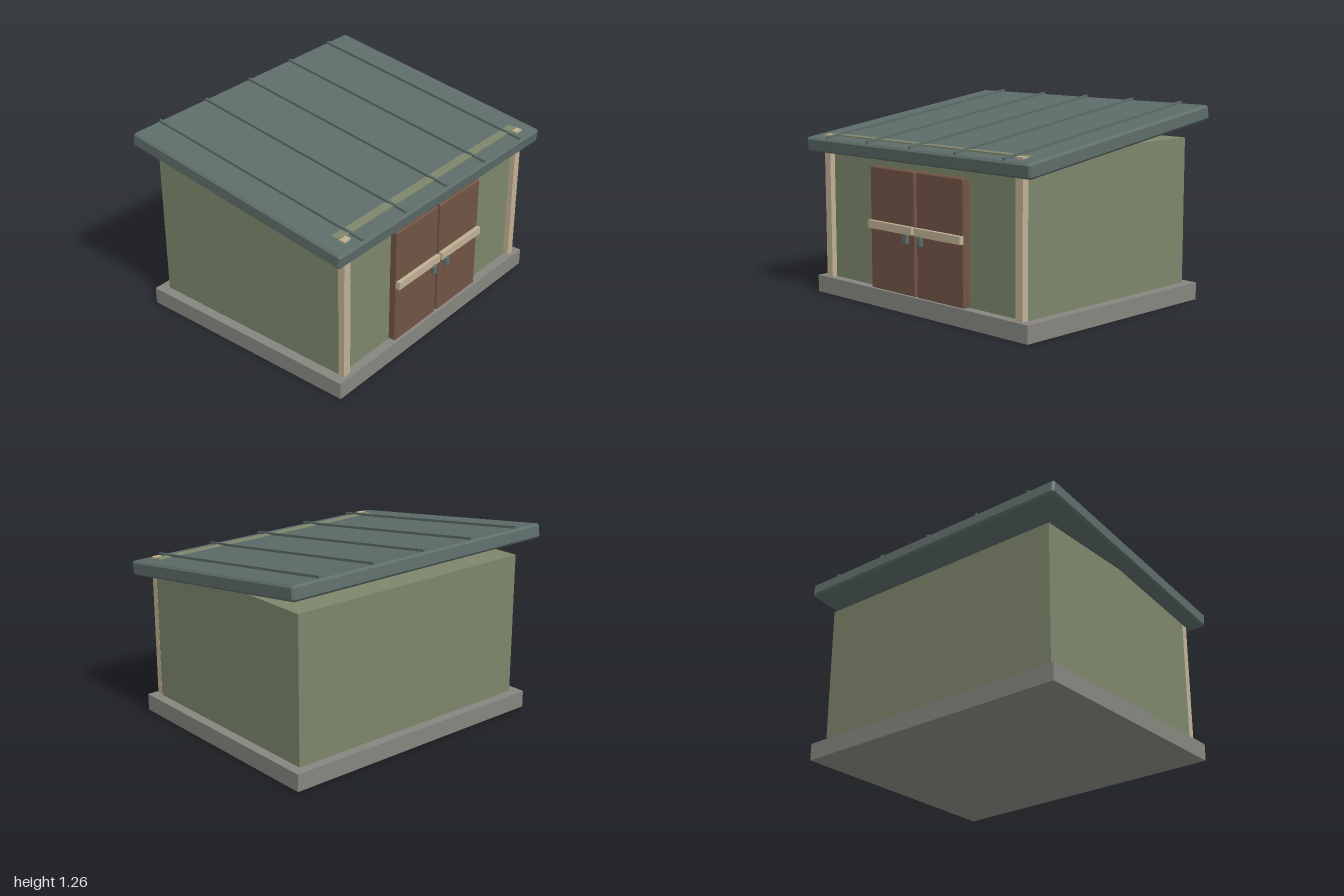
import * as THREE from 'three';
import { ConvexGeometry } from 'three/addons/geometries/ConvexGeometry.js';

const material = (name, color) => {
  const m = new THREE.MeshStandardMaterial({ color });
  m.name = name;
  return m;
};

// Box with every edge cut by a flat chamfer c
function chamferBox(w, h, d, c) {
  const points = [];
  for (const sx of [-1, 1]) for (const sy of [-1, 1]) for (const sz of [-1, 1]) {
    const x = w / 2, y = h / 2, z = d / 2;
    points.push(
      new THREE.Vector3(sx * x, sy * (y - c), sz * (z - c)),
      new THREE.Vector3(sx * (x - c), sy * y, sz * (z - c)),
      new THREE.Vector3(sx * (x - c), sy * (y - c), sz * z));
  }
  return new ConvexGeometry(points);
}

export function createModel() {
  const shed = new THREE.Group();
  shed.name = 'shed';

  const wall = material('sage green', 0x7d866b);
  const slate = material('slate', 0x5d6c69);
  const wood = material('brown wood', 0x705344);
  const trim = material('beige trim', 0xc0b094);
  const concrete = material('concrete', 0x86857f);

  // Block given by its min and max corners, chamfered when c > 0
  function block(name, mat, [x0, y0, z0], [x1, y1, z1], c = 0, parent = shed) {
    const size = [x1 - x0, y1 - y0, z1 - z0];
    const geo = c ? chamferBox(...size, c) : new THREE.BoxGeometry(...size);
    const mesh = new THREE.Mesh(geo, mat);
    mesh.name = name;
    mesh.position.set((x0 + x1) / 2, (y0 + y1) / 2, (z0 + z1) / 2);
    parent.add(mesh);
  }

  // Base and walls
  block('foundation', concrete, [-0.95, 0, -0.778], [0.95, 0.11, 0.778]);
  block('walls', wall, [-0.886, 0.11, -0.714], [0.886, 1.04, 0.716]);

  // Corner posts, doors, door rails and handles, mirrored
  for (const [side, s] of [['left', 1], ['right', -1]]) {
    const mirrored = (name, mat, a, b, z0, z1, y0, y1, c) =>
      block(side + name, mat, [Math.min(s * a, s * b), y0, z0], [Math.max(s * a, s * b), y1, z1], c);
    mirrored('CornerPost', trim, 0.832, 0.887, 0.708, 0.752, 0.11, 1.04, 0);
    mirrored('Door', wood, 0.009, 0.419, 0.705, 0.762, 0.11, 0.876, 0.006);
    mirrored('DoorRail', trim, 0.011, 0.417, 0.755, 0.788, 0.492, 0.541, 0);
    mirrored('Handle', slate, 0.045, 0.083, 0.77, 0.797, 0.432, 0.498, 0.006);
  }

  // Sloping roof with standing seams
  const roof = new THREE.Group();
  roof.name = 'roof';
  roof.position.y = 1.086;
  roof.rotation.x = 0.14;
  block('roofPanel', slate, [-0.998, -0.046, -0.82], [0.998, 0.046, 0.82], 0.013, roof);
  for (let i = -2; i <= 2; i++) {
    const x = i * 0.395;
    block('roofSeam', slate, [x - 0.007, 0.04, -0.806], [x + 0.007, 0.062, 0.806], 0, roof);
  }
  shed.add(roof);

  return shed;
}
